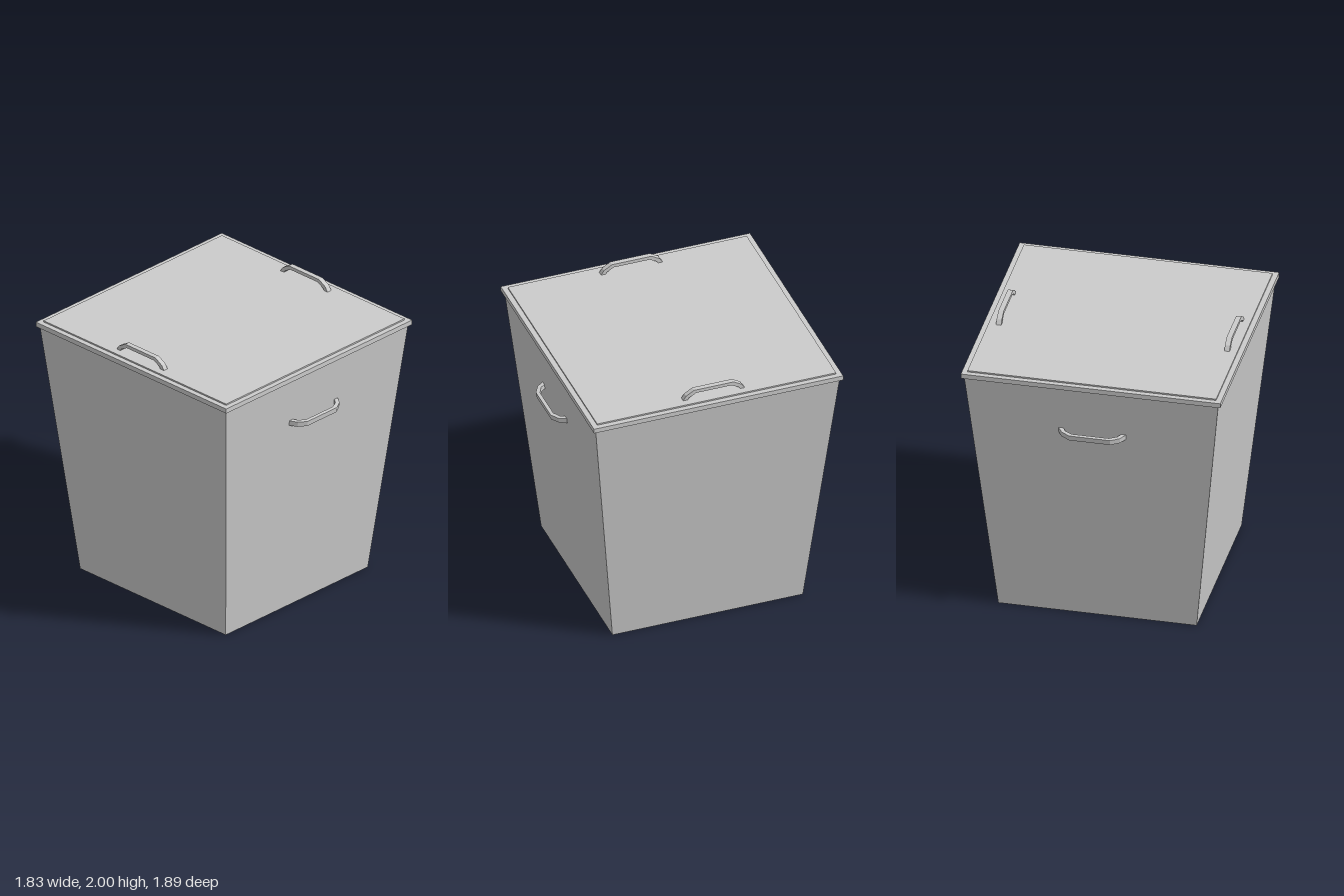
import * as THREE from 'three';

const material = new THREE.MeshStandardMaterial({ color: 0xcccccc, flatShading: true });

function addMesh(parent, name, geometry) {
  const mesh = new THREE.Mesh(geometry, material);
  mesh.name = name;
  parent.add(mesh);
  return mesh;
}

// Arched flat bar: spans x, rises along y, centred on z
function handleGeometry(width) {
  const outer = [[0.24, 0], [0.205, 0.053], [0.145, 0.088]];
  const inner = [[0.13, 0.063], [0.183, 0.035], [0.205, 0]];
  const mirror = (pts) => pts.map(([x, y]) => [-x, y]).reverse();
  const outline = [...outer, ...mirror(outer), ...mirror(inner), ...inner];
  const shape = new THREE.Shape(outline.map(([x, y]) => new THREE.Vector2(x, y)));
  const geometry = new THREE.ExtrudeGeometry(shape, { depth: width, bevelEnabled: false });
  return geometry.translate(0, 0, -width / 2);
}

export function createModel() {
  const model = new THREE.Group();
  model.name = 'liddedBin';

  const bottomHalf = 0.7, topHalf = 0.897, bodyHeight = 1.89;
  const tilt = Math.atan((topHalf - bottomHalf) / bodyHeight);

  // Tapered square body
  const body = new THREE.CylinderGeometry(topHalf * Math.SQRT2, bottomHalf * Math.SQRT2, bodyHeight, 4);
  body.rotateY(Math.PI / 4).translate(0, bodyHeight / 2, 0);
  addMesh(model, 'body', body);

  // Overhanging rim and slightly raised lid panel
  addMesh(model, 'lidRim', new THREE.BoxGeometry(1.832, 0.035, 1.832)).position.y = 1.904;
  addMesh(model, 'lidPanel', new THREE.BoxGeometry(1.756, 0.03, 1.756)).position.y = 1.917;

  const handle = handleGeometry(0.037);
  const handleY = 1.535;
  const wallZ = bottomHalf + (topHalf - bottomHalf) * handleY / bodyHeight;

  for (const side of [1, -1]) {
    // Lid handles running front to back
    const lidHandle = addMesh(model, side > 0 ? 'leftLidHandle' : 'rightLidHandle', handle);
    lidHandle.position.set(side * 0.806, 1.912, 0);
    lidHandle.rotation.y = Math.PI / 2;

    // Carrying handles square to the sloping front and back walls
    const mount = new THREE.Group();
    mount.name = side > 0 ? 'frontHandle' : 'backHandle';
    mount.rotation.y = side > 0 ? 0 : Math.PI;
    const grip = addMesh(mount, 'grip', handle);
    grip.position.set(0, handleY, wallZ - 0.003);
    grip.rotation.x = Math.PI / 2 + tilt;
    model.add(mount);
  }
  return model;
}
